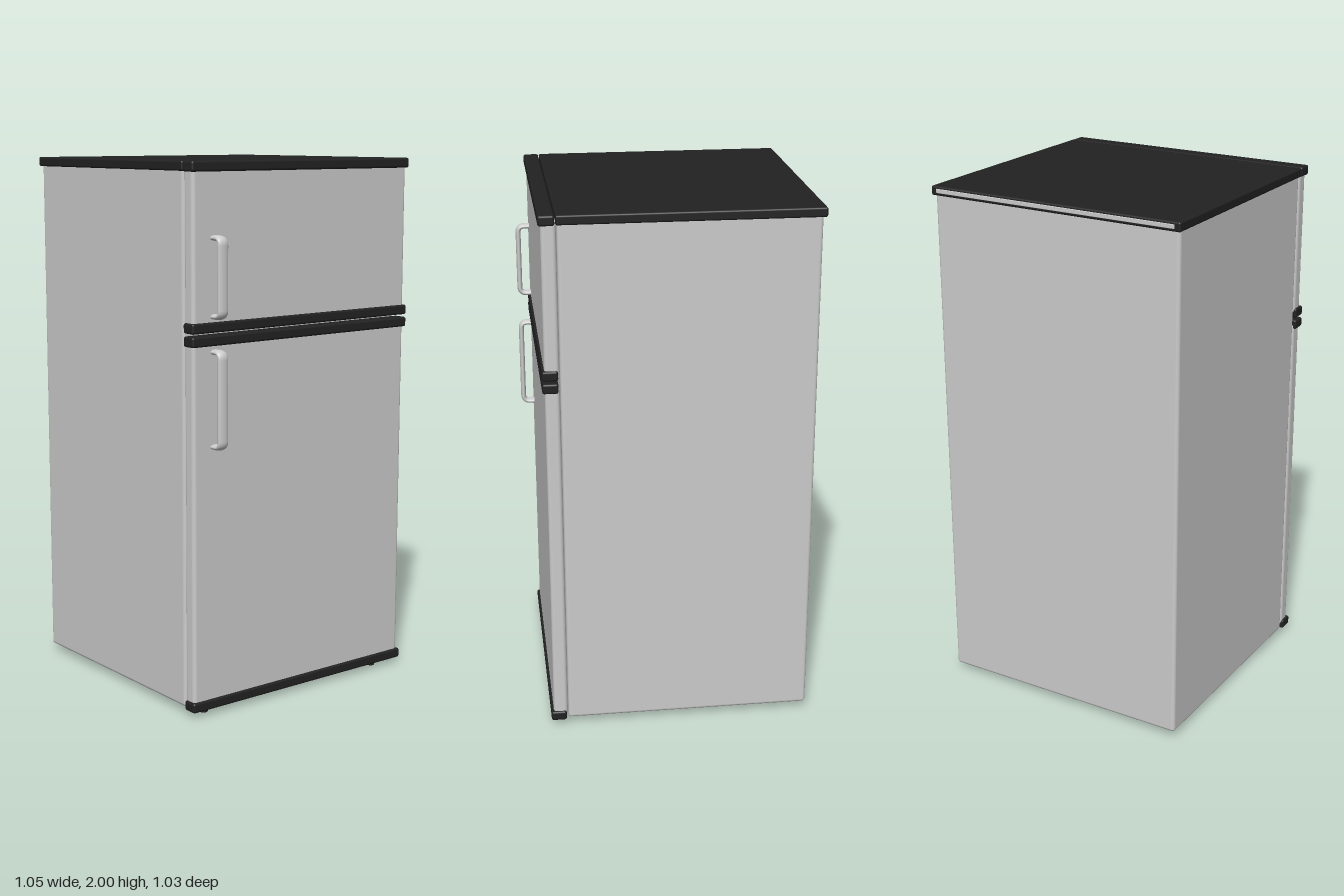
import * as THREE from 'three';
import { RoundedBoxGeometry } from 'three/addons/geometries/RoundedBoxGeometry.js';

export function createModel() {
  const model = new THREE.Group();
  const grey = new THREE.MeshStandardMaterial({ color: 0xcccccc });
  const dark = new THREE.MeshStandardMaterial({ color: 0x222222 });

  function add(name, geometry, material) {
    const mesh = new THREE.Mesh(geometry, material);
    mesh.name = name;
    model.add(mesh);
    return mesh;
  }

  // Rounded box given by its x and y ranges and its half width in z
  function box(name, x0, x1, y0, y1, halfZ, radius, material) {
    const geometry = new RoundedBoxGeometry(x1 - x0, y1 - y0, halfZ * 2, 4, radius);
    geometry.translate((x0 + x1) / 2, (y0 + y1) / 2, 0);
    return add(name, geometry, material);
  }

  // Cabinet and its worktop
  box('cabinet', -0.514, 0.413, 0.024, 1.985, 0.505, 0.013, grey);
  box('worktop', -0.527, 0.417, 1.965, 2, 0.513, 0.007, dark);
  box('worktopRearStrip', -0.529, -0.51, 1.975, 1.991, 0.49, 0.002, grey);

  // Freezer and fridge doors, each with a dark trim at both ends
  for (const [name, y0, y1] of [['freezerDoor', 1.404, 2], ['fridgeDoor', 0.02, 1.394]]) {
    box(name, 0.415, 0.469, y0 + 0.015, y1 - 0.015, 0.505, 0.014, grey);
    box(name + 'BottomTrim', 0.42, 0.478, y0, y0 + 0.037, 0.513, 0.008, dark);
    box(name + 'TopTrim', 0.42, 0.478, y1 - 0.037, y1, 0.513, 0.008, dark);
  }

  // Bow handles: a bent tube stretched to an oval section
  function handle(name, y0, y1) {
    const r = 0.01, inner = 0.46, outer = 0.513, bend = 0.025;
    const lo = y0 + r, hi = y1 - r;
    const v = (x, y) => new THREE.Vector3(x, y, 0);
    const path = new THREE.CurvePath();
    path.add(new THREE.LineCurve3(v(inner, lo), v(outer - bend, lo)));
    path.add(new THREE.QuadraticBezierCurve3(v(outer - bend, lo), v(outer, lo), v(outer, lo + bend)));
    path.add(new THREE.LineCurve3(v(outer, lo + bend), v(outer, hi - bend)));
    path.add(new THREE.QuadraticBezierCurve3(v(outer, hi - bend), v(outer, hi), v(outer - bend, hi)));
    path.add(new THREE.LineCurve3(v(outer - bend, hi), v(inner, hi)));
    const geometry = new THREE.TubeGeometry(path, 120, r, 20);
    geometry.scale(1, 1, 2.2);
    geometry.translate(0, 0, 0.408);
    add(name, geometry, grey);
  }
  handle('freezerHandle', 1.45, 1.745);
  handle('fridgeHandle', 0.985, 1.345);

  // Feet
  for (const x of [-0.42, 0.43]) {
    for (const z of [-0.4, 0.435]) {
      const foot = add('foot', new THREE.CylinderGeometry(0.02, 0.016, 0.035, 20), dark);
      foot.position.set(x, 0.0175, z);
    }
  }
  return model;
}
